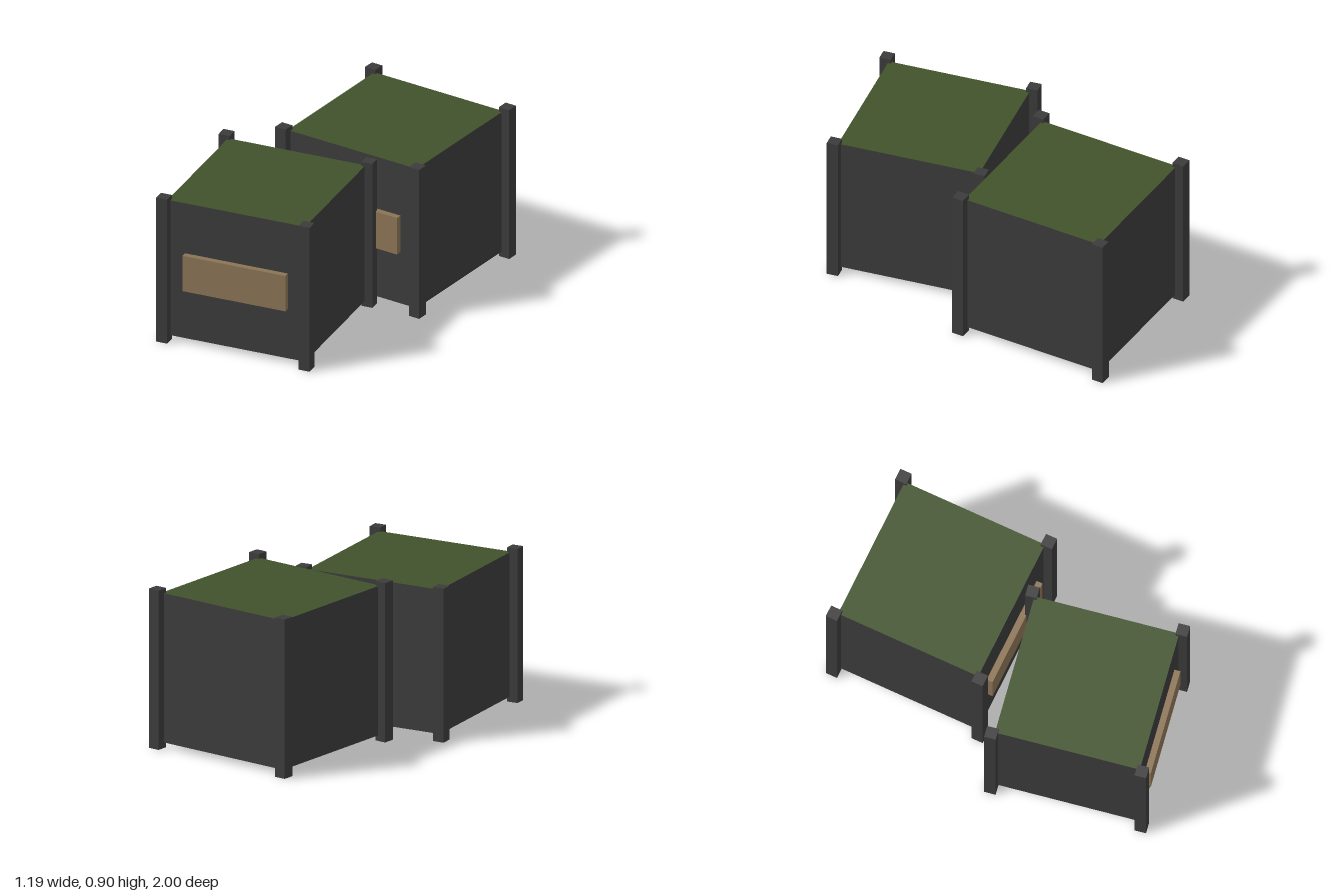
import * as THREE from 'three';

export function createModel() {
  const frame = new THREE.MeshStandardMaterial({ name: 'charcoal', color: 0x3b3b3b });
  const lid = new THREE.MeshStandardMaterial({ name: 'moss green', color: 0x41522b });
  const wood = new THREE.MeshStandardMaterial({ name: 'tan wood', color: 0x8b7355 });

  function box(parent, name, size, pos, material) {
    const mesh = new THREE.Mesh(new THREE.BoxGeometry(...size), material);
    mesh.name = name;
    mesh.position.set(...pos);
    parent.add(mesh);
  }

  // One crate in units of its body width, standing on y = 0
  function crate(name) {
    const g = new THREE.Group();
    g.name = name;
    // Body, with its top face in the lid colour
    box(g, 'body', [1, 1.004, 1], [0, 0.538, 0], [frame, frame, lid, frame, frame, frame]);
    // Corner posts
    for (const x of [-1, 1]) for (const z of [-1, 1]) {
      box(g, 'cornerPost', [0.08, 1.071, 0.08], [x * 0.519, 0.5355, z * 0.519], frame);
    }
    // Front plaque
    box(g, 'frontPlaque', [0.75, 0.263, 0.08], [0, 0.536, 0.502], wood);
    return g;
  }

  const model = new THREE.Group();
  model.name = 'cratePair';

  const back = crate('backCrate');
  back.scale.setScalar(0.845);
  back.rotation.y = 0.026;
  back.position.set(0.108, 0, -0.516);

  const front = crate('frontCrate');
  front.scale.setScalar(0.817);
  front.rotation.y = 0.204;
  front.position.set(-0.06, 0, 0.458);

  model.add(back, front);
  return model;
}
